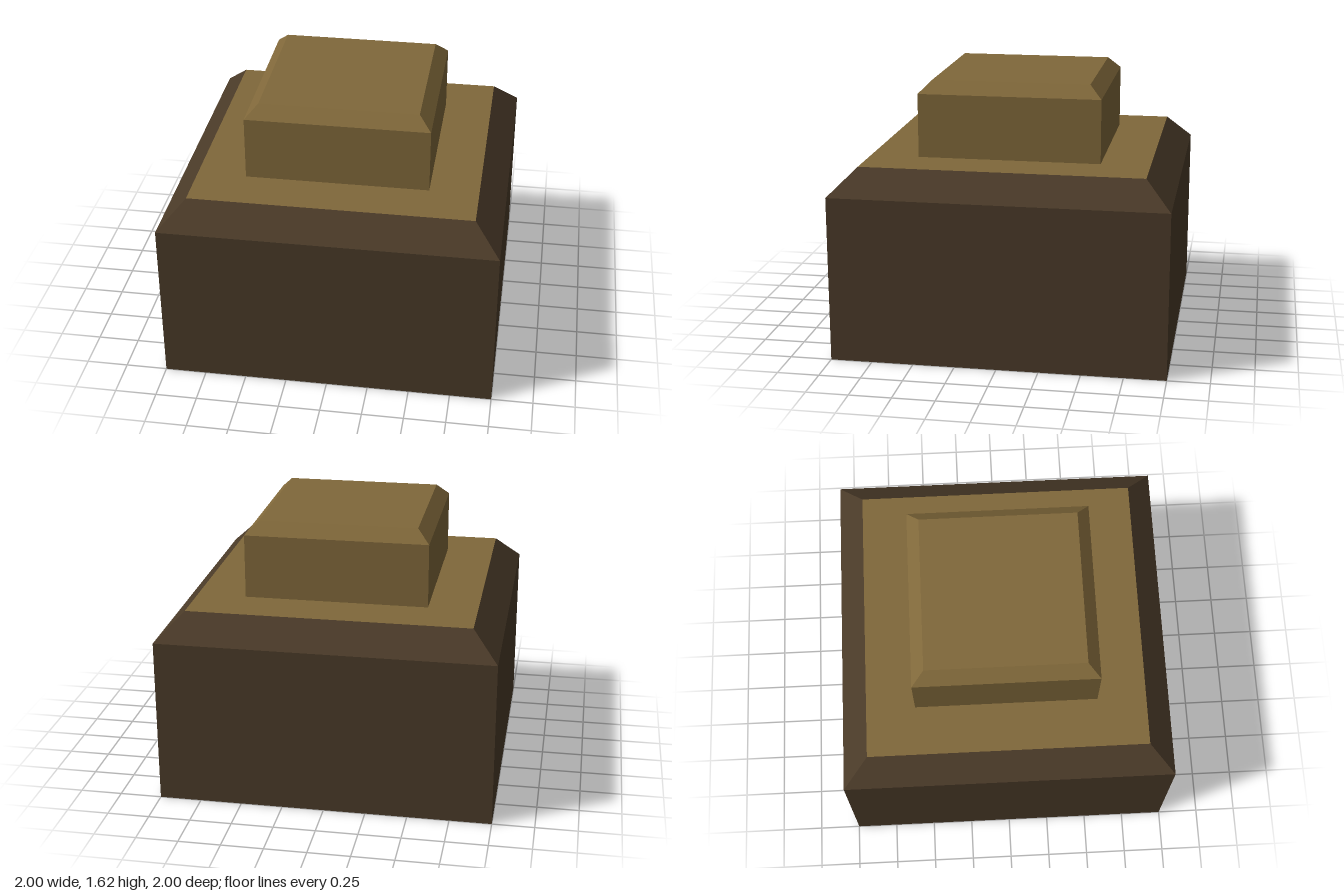
import * as THREE from 'three';

// Four-sided band between two square half-widths, with hard edges
function squareBand(bottom, top, y0, y1) {
  const g = new THREE.CylinderGeometry(top * Math.SQRT2, bottom * Math.SQRT2, y1 - y0, 4, 1, true)
    .rotateY(Math.PI / 4)
    .translate(0, (y0 + y1) / 2, 0)
    .toNonIndexed();
  g.computeVertexNormals();
  return g;
}

// Horizontal square facing up, or down when flipped
function squareCap(half, y, down = false) {
  return new THREE.PlaneGeometry(half * 2, half * 2)
    .rotateX(down ? Math.PI / 2 : -Math.PI / 2)
    .translate(0, y, 0);
}

export function createModel() {
  const darkBrown = new THREE.MeshStandardMaterial({ color: 0x4a3a28, side: THREE.DoubleSide });
  darkBrown.name = 'darkBrown';
  const ochre = new THREE.MeshStandardMaterial({ color: 0x80683a });
  ochre.name = 'ochre';

  const model = new THREE.Group();
  model.name = 'steppedBlock';
  const add = (name, geometry, material, parent) => {
    const mesh = new THREE.Mesh(geometry, material);
    mesh.name = name;
    parent.add(mesh);
  };

  // Hollow base, open underneath, with a chamfered shoulder
  const base = new THREE.Group();
  base.name = 'base';
  add('baseWalls', squareBand(1, 1, 0, 1), darkBrown, base);
  add('baseChamfer', squareBand(1, 0.845, 1, 1.155), darkBrown, base);
  add('baseCeiling', squareCap(0.845, 1.151, true), darkBrown, base);
  add('baseDeck', squareCap(0.845, 1.155), ochre, base);

  // Raised cap with a chamfered rim
  const cap = new THREE.Group();
  cap.name = 'cap';
  add('capWalls', squareBand(0.55, 0.55, 1.155, 1.54), ochre, cap);
  add('capChamfer', squareBand(0.55, 0.475, 1.54, 1.615), ochre, cap);
  add('capTop', squareCap(0.475, 1.615), ochre, cap);

  model.add(base, cap);
  return model;
}
